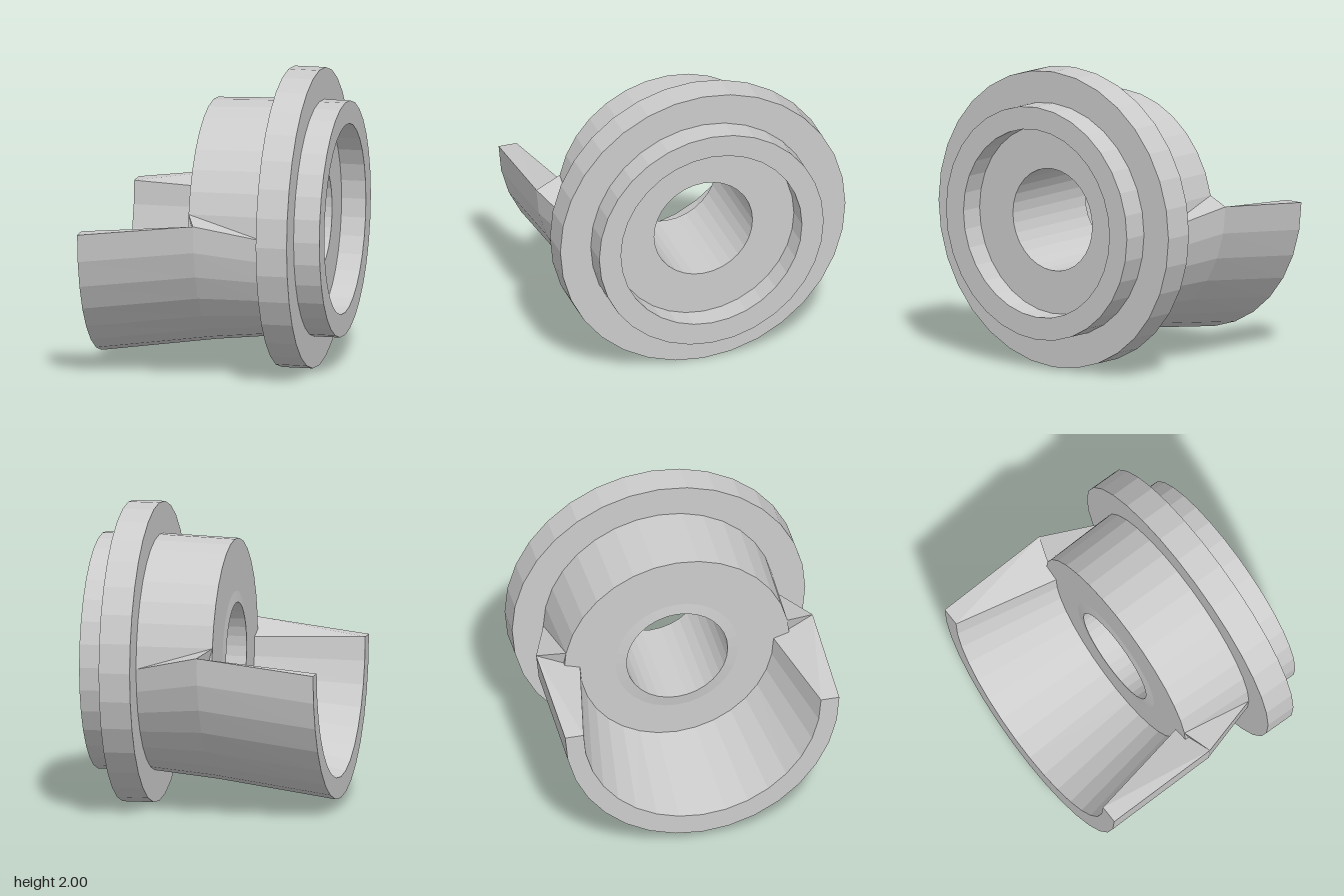
import * as THREE from 'three';

const material = new THREE.MeshStandardMaterial({ color: 0xcccccc, flatShading: true });

function makeMesh(name, geometry) {
  const mesh = new THREE.Mesh(geometry, material);
  mesh.name = name;
  return mesh;
}

// Closed profile of [x, radius] pairs turned around the x axis
function turned(name, profile) {
  const points = profile.map(([x, r]) => new THREE.Vector2(r, x));
  points.push(points[0].clone());
  return makeMesh(name, new THREE.LatheGeometry(points, 32).rotateZ(-Math.PI / 2));
}

// Half-round trough whose wall runs along the outside and back along the inside
function scoopGeometry() {
  // x, centre height, half width, depth
  const stations = [
    [0.42, 1.0, 0.787, 0.787], [-0.02, 1.11, 0.943, 0.94], [-0.807, 1.013, 0.935, 0.957],
    [-0.807, 1.013, 0.81, 0.815], [-0.09, 1.015, 0.66, 0.66],
  ];
  const steps = 16;
  const positions = [];
  const tri = (...corners) => corners.forEach((c) => positions.push(...c));
  const at = (i, j) => {
    const [x, y, w, d] = stations[i];
    const t = (Math.PI * j) / steps;
    return [x, y - d * Math.sin(t), w * Math.cos(t)];
  };
  for (let i = 0; i < stations.length - 1; i++) {
    for (let j = 0; j < steps; j++) {
      const a = at(i, j), b = at(i + 1, j), c = at(i + 1, j + 1), d = at(i, j + 1);
      tri(a, b, d);
      tri(b, c, d);
    }
  }
  // Top edges, with the shoulders that meet the hub
  for (const side of [1, -1]) {
    const j = side > 0 ? 0 : steps;
    const loop = [1, 2, 3, 4].map((i) => at(i, j));
    loop.push([-0.09, 1.15, side * 0.755], at(0, j));
    for (let k = 1; k < loop.length - 1; k++) {
      if (side > 0) tri(loop[0], loop[k + 1], loop[k]);
      else tri(loop[0], loop[k], loop[k + 1]);
    }
  }
  const geometry = new THREE.BufferGeometry();
  geometry.setAttribute('position', new THREE.Float32BufferAttribute(positions, 3));
  geometry.computeVertexNormals();
  return geometry;
}

export function createModel() {
  const group = new THREE.Group();
  group.name = 'flangedSpout';

  // Hub, flange and recessed rim share one bored profile
  const body = turned('flangedHub', [
    [-0.10, 0.345], [-0.09, 0.42], [-0.09, 0.77],
    [0.42, 0.787], [0.42, 1.0], [0.63, 1.0], [0.63, 0.787],
    [0.805, 0.787], [0.805, 0.635], [0.64, 0.635], [0.64, 0.345],
  ]);
  body.position.y = 1;
  group.add(body);

  group.add(makeMesh('scoop', scoopGeometry()));
  return group;
}
